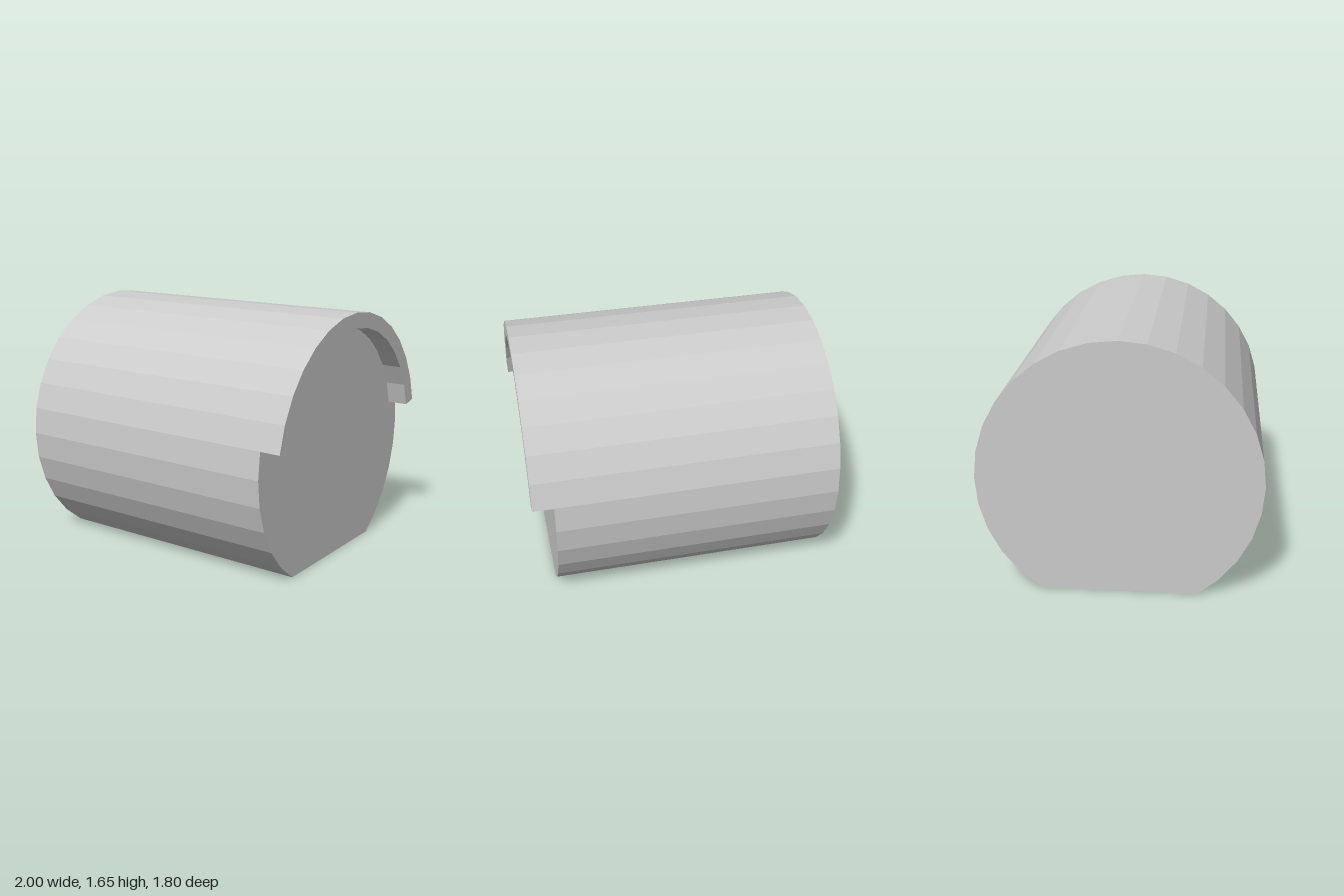
import * as THREE from 'three';

const R = 0.902, INNER = 0.8, CY = 0.75;
const STEP = Math.PI / 16; // 32-sided barrel
const BODY_END = 0.864;

// Points of an arc, counted in facets from the top of the circle
function arc(radius, from, to) {
  const points = [];
  const dir = Math.sign(to - from);
  for (let i = from; i !== to + dir; i += dir) {
    points.push(new THREE.Vector2(
      radius * Math.sin(i * STEP),
      Math.max(0, CY + radius * Math.cos(i * STEP))
    ));
  }
  return points;
}

// Extrude a cross-section along x between two positions
function extrudeAlongX(name, points, x0, x1, material) {
  const geometry = new THREE.ExtrudeGeometry(new THREE.Shape(points), {
    depth: x1 - x0, bevelEnabled: false, steps: 1,
  });
  geometry.rotateY(Math.PI / 2);
  geometry.translate(x0, 0, 0);
  const mesh = new THREE.Mesh(geometry, material);
  mesh.name = name;
  return mesh;
}

export function createModel() {
  const group = new THREE.Group();
  group.name = 'flatBottomedBarrel';
  const material = new THREE.MeshStandardMaterial({ color: 0xcccccc, flatShading: true });

  // Solid barrel, cut flat along the bottom
  const bodyProfile = arc(R, -13, 13);
  bodyProfile[0].y = bodyProfile[bodyProfile.length - 1].y = 0;
  group.add(extrudeAlongX('body', bodyProfile, -1, BODY_END, material));

  // Curved lip over the upper part of one end
  const lipProfile = [...arc(R, -7, 7), ...arc(INNER, 7, -7)];
  group.add(extrudeAlongX('overhangingLip', lipProfile, BODY_END, 1, material));

  return group;
}
